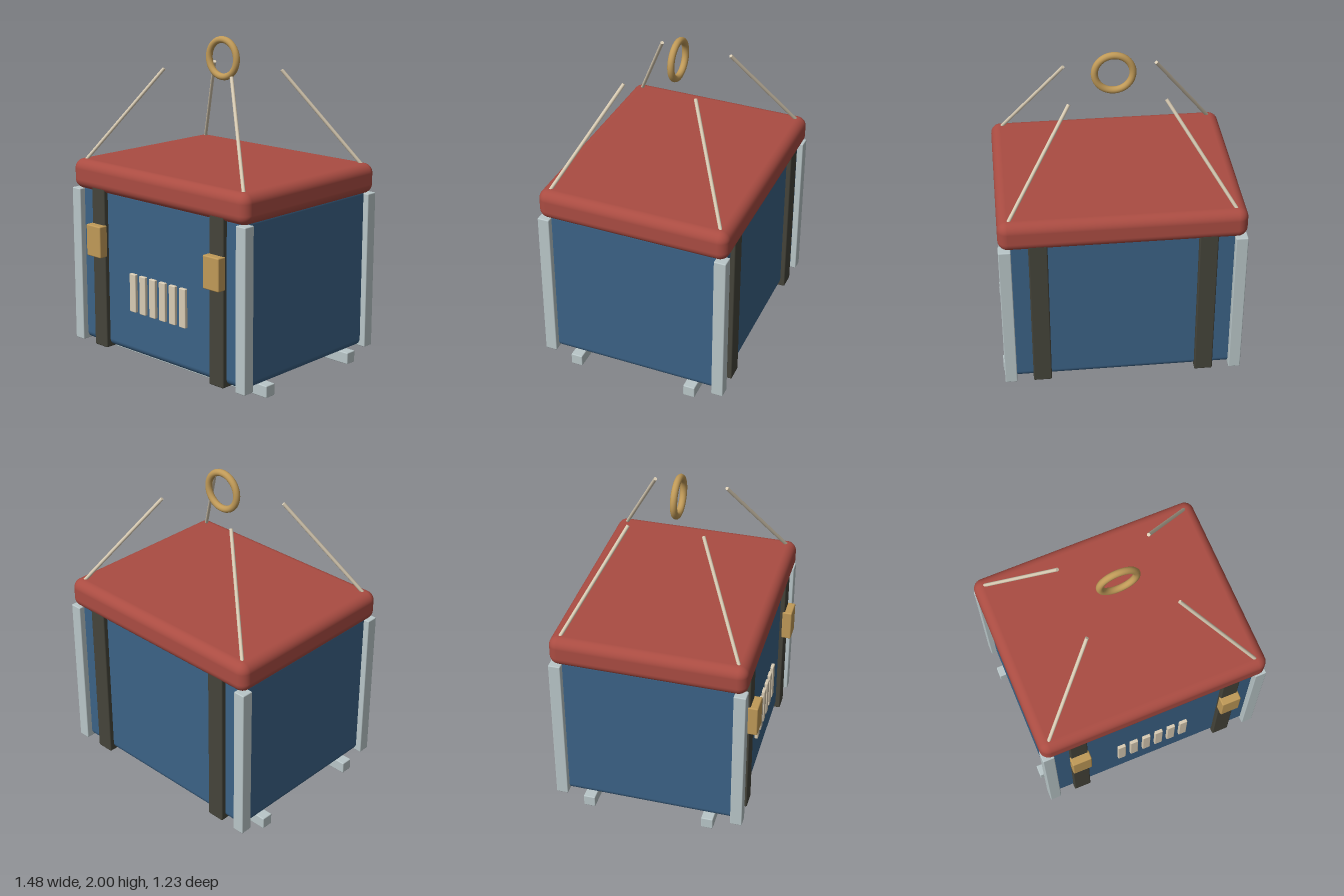
import * as THREE from 'three';
import { RoundedBoxGeometry } from 'three/addons/geometries/RoundedBoxGeometry.js';

const paint = (color) => new THREE.MeshStandardMaterial({ color });

export function createModel() {
  const crate = new THREE.Group();
  crate.name = 'slungCrate';
  // everything except the buckles is centred slightly behind the origin
  crate.position.z = -0.02;

  const blue = paint(0x3b6286), red = paint(0xaa4c42), steel = paint(0xb9c6c8);
  const webbing = paint(0x45443a), brass = paint(0xc09a58), cream = paint(0xd9ccb4);

  const add = (name, geometry, material, x, y, z) => {
    const mesh = new THREE.Mesh(geometry, material);
    mesh.name = name;
    mesh.position.set(x, y, z);
    crate.add(mesh);
    return mesh;
  };
  // rounded box given by its size, bottom height and corner radius
  const block = (name, material, [w, h, d], x, bottom, z, radius, segments = 2) =>
    add(name, new RoundedBoxGeometry(w, h, d, segments, radius), material, x, bottom + h / 2, z);

  // body and padded lid
  block('body', blue, [1.39, 1.02, 1.11], 0, 0.068, 0, 0.045, 5);
  block('lid', red, [1.46, 0.187, 1.19], 0, 1.048, 0, 0.06, 6);

  // skids under the crate
  for (const z of [-0.377, 0.377]) block('skid', steel, [1.476, 0.074, 0.074], 0, 0, z, 0.006);

  for (const sx of [-1, 1]) {
    // strap around the body, with its buckle at the front
    block('strap', webbing, [0.112, 1.022, 1.17], sx * 0.5, 0.058, 0, 0.008);
    block('buckle', brass, [0.125, 0.2, 0.062], sx * 0.5, 0.65, 0.601, 0.008);

    for (const sz of [-1, 1]) {
      block('cornerPost', steel, [0.074, 0.986, 0.074], sx * 0.694, 0.065, sz * 0.556, 0.006);

      // lifting rope rising inwards from the lid corner
      const foot = new THREE.Vector3(sx * 0.67, 1.215, sz * 0.538);
      const tip = new THREE.Vector3(sx * 0.28, 1.8, sz * 0.222);
      const along = tip.clone().sub(foot);
      const rope = add('liftingRope', new THREE.CylinderGeometry(0.011, 0.011, along.length(), 10), cream, 0, 0, 0);
      rope.position.copy(foot).add(tip).multiplyScalar(0.5);
      rope.quaternion.setFromUnitVectors(new THREE.Vector3(0, 1, 0), along.normalize());
    }
  }

  // vent slats on the front
  for (let i = 0; i < 6; i++) {
    block('ventSlat', cream, [0.052, 0.242, 0.03], (i - 2.5) * 0.085, 0.344, 0.56, 0.005);
  }

  // lifting ring
  add('liftingRing', new THREE.TorusGeometry(0.113, 0.021, 14, 48), brass, 0, 1.866, 0);

  return crate;
}
